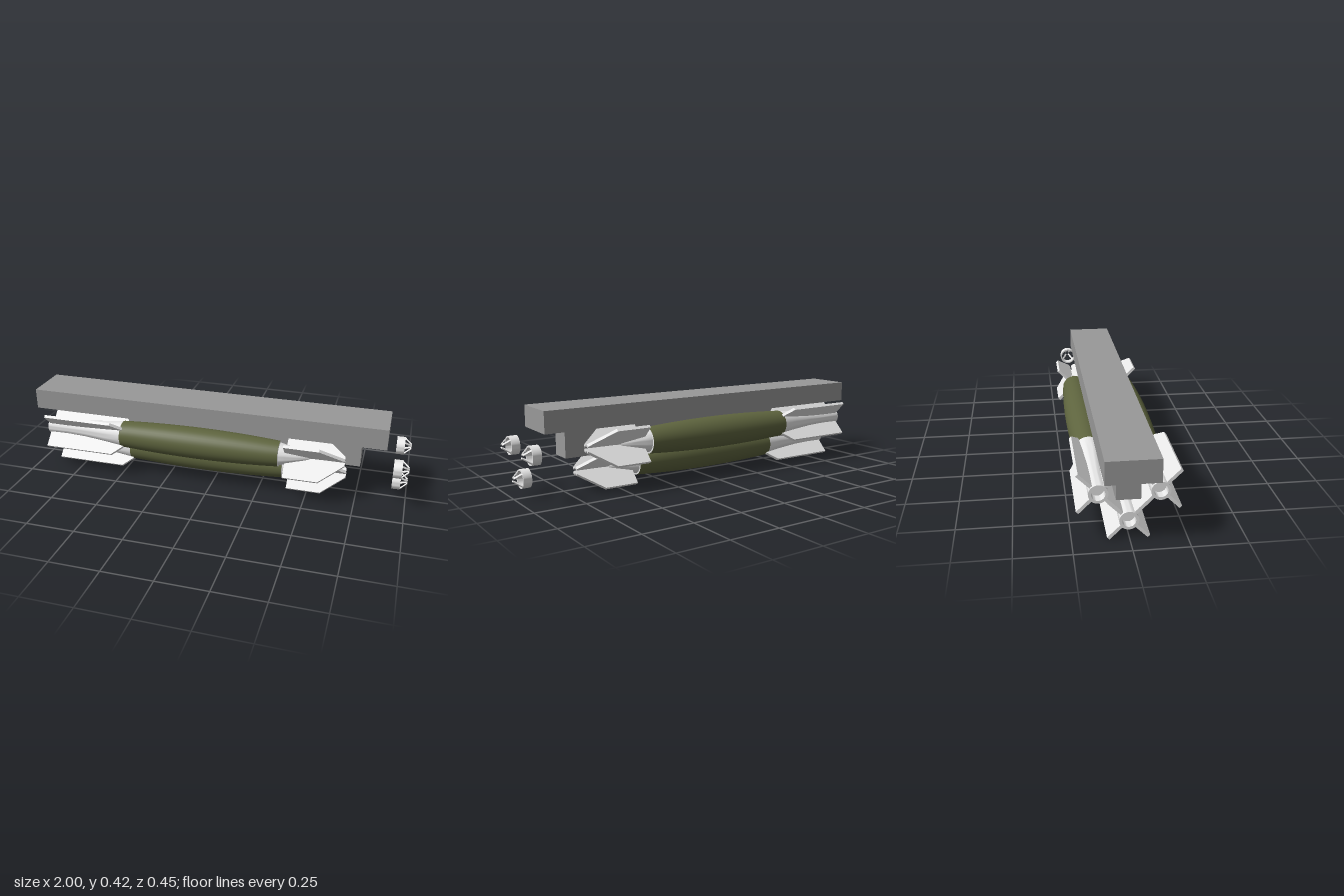
import * as THREE from 'three';
import { toCreasedNormals } from 'three/addons/utils/BufferGeometryUtils.js';

const mat = (name, color) => {
  const m = new THREE.MeshStandardMaterial({ color });
  m.name = name;
  return m;
};

function add(parent, name, geometry, material) {
  const mesh = new THREE.Mesh(geometry, material);
  mesh.name = name;
  parent.add(mesh);
  return mesh;
}

// Surface of revolution along +x from [x, radius] pairs
function turned(profile, segments = 40) {
  const pts = profile.map(([x, r]) => new THREE.Vector2(r, x));
  const g = new THREE.LatheGeometry(pts, segments).rotateZ(-Math.PI / 2);
  return toCreasedNormals(g, 0.6);
}

// Flat fin outline in (x, radius), centred on its thickness
function finGeometry(outline) {
  const shape = new THREE.Shape(outline.map(([x, r]) => new THREE.Vector2(x, r)));
  const t = 0.015;
  return new THREE.ExtrudeGeometry(shape, { depth: t, bevelEnabled: false }).translate(0, 0, -t / 2);
}

export function createModel() {
  const group = new THREE.Group();
  const grey = mat('rack grey', 0x999999);
  const light = mat('light grey', 0xe8e8e8);
  const olive = mat('olive green', 0x5e643e);

  // Rack: wide beam and narrow pylon
  const box = (name, x0, x1, y0, y1, z0, z1) =>
    add(group, name, new THREE.BoxGeometry(x1 - x0, y1 - y0, z1 - z0), grey)
      .position.set((x0 + x1) / 2, (y0 + y1) / 2, (z0 + z1) / 2);
  box('beam', -1, 0.885, 0.315, 0.422, -0.12, 0.116);
  box('pylon', -0.875, 0.76, 0.175, 0.315, -0.057, 0.052);

  // Olive casing, a gentle barrel
  const casing = [];
  for (let i = 0; i <= 16; i++) {
    const x = -0.49 + (0.85 * i) / 16;
    const d = x + 0.08;
    casing.push([x, 0.082 - (d > 0 ? 0.085 : 0.075) * d * d]);
  }
  const casingGeo = turned(casing);
  // Tail cone with an open end
  const tailGeo = turned([[-0.87, 0], [-0.87, 0.03], [-0.915, 0.03], [-0.915, 0.043], [-0.8, 0.042],
    [-0.7, 0.046], [-0.58, 0.058], [-0.49, 0.0692]]);
  // Nose cone
  const noseGeo = turned([[0.36, 0.0655], [0.361, 0.058], [0.395, 0.05], [0.45, 0.034], [0.51, 0.017], [0.53, 0]]);
  const tailFinGeo = finGeometry([[-0.905, 0.035], [-0.905, 0.125], [-0.53, 0.125], [-0.475, 0.075], [-0.49, 0.05]]);
  const noseFinGeo = finGeometry([[0.393, 0.02], [0.393, 0.125], [0.57, 0.125], [0.69, 0.024], [0.69, 0.012], [0.51, 0.008]]);
  // Loose collar ahead of the nose, with four converging prongs
  const collarGeo = turned([[0.925, 0.039], [0.925, 0.046], [0.967, 0.046], [0.967, 0.039], [0.925, 0.039]]);
  const prongGeo = new THREE.BoxGeometry(0.048, 0.006, 0.009)
    .rotateZ(-0.75).translate(0.982, 0.027, 0);

  for (const [name, y, z] of [['frontStore', 0.23, 0.13], ['backStore', 0.23, -0.136], ['lowerStore', 0.095, -0.004]]) {
    const store = new THREE.Group();
    store.name = name;
    store.position.set(0, y, z);
    group.add(store);
    add(store, 'casing', casingGeo, olive);
    add(store, 'tailCone', tailGeo, light);
    add(store, 'noseCone', noseGeo, light);
    add(store, 'collar', collarGeo, light);
    for (let i = 0; i < 4; i++) {
      const angle = Math.PI / 4 + (i * Math.PI) / 2;
      add(store, 'tailFin', tailFinGeo, light).rotation.x = angle;
      add(store, 'noseFin', noseFinGeo, light).rotation.x = angle;
      add(store, 'collarProng', prongGeo, light).rotation.x = angle;
    }
  }
  return group;
}
